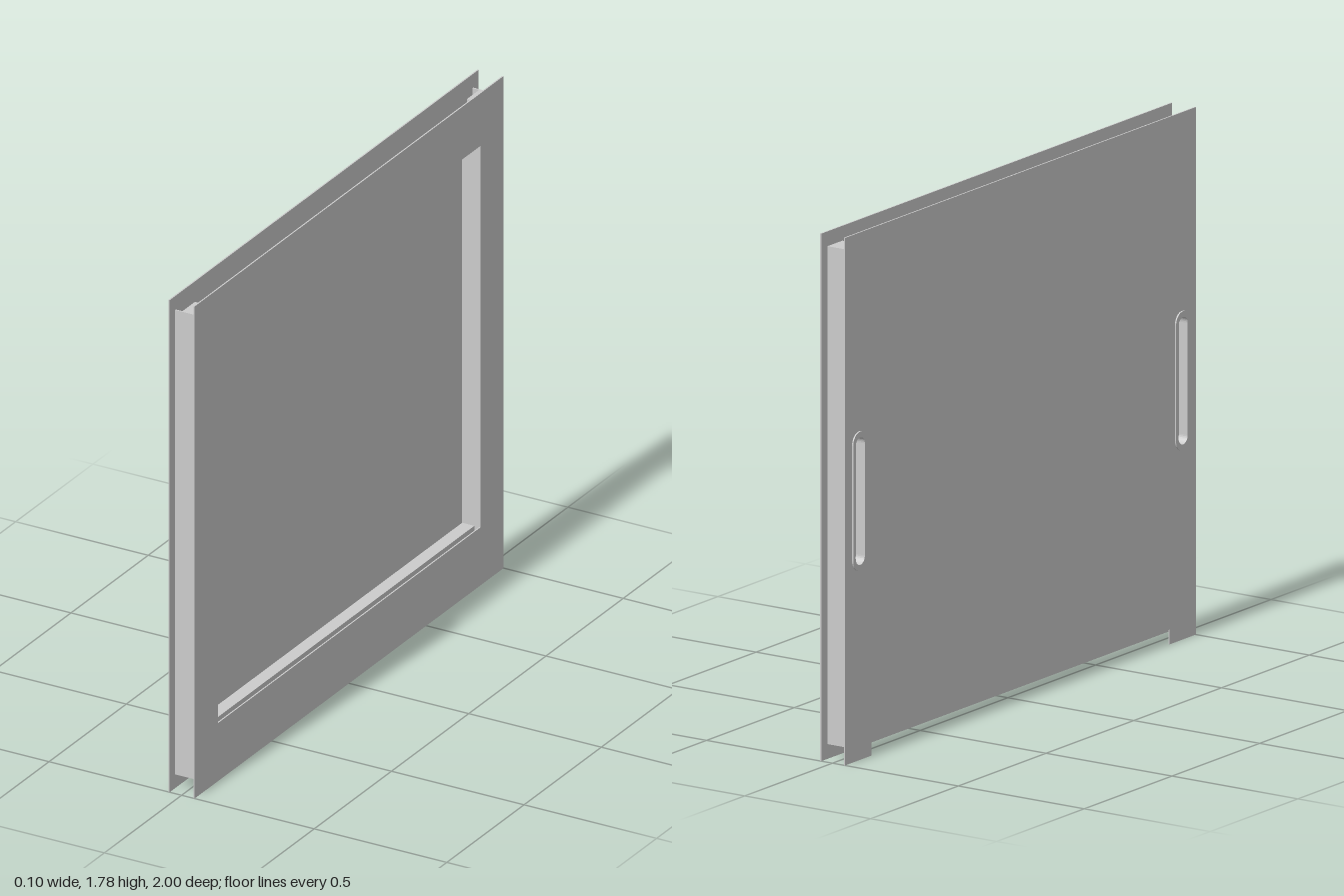
import * as THREE from 'three';

const material = new THREE.MeshStandardMaterial({ color: 0xcccccc, flatShading: true, side: THREE.DoubleSide });

// Rectangle in the (z, y) plane
function rect(z0, z1, y0, y1, Type = THREE.Shape) {
  return new Type([[z0, y0], [z1, y0], [z1, y1], [z0, y1]].map(p => new THREE.Vector2(...p)));
}

// Upright slot with round ends in the (z, y) plane
function slot(z, y0, y1, r, Type = THREE.Shape) {
  const s = new Type();
  s.absarc(z, y1 - r, r, 0, Math.PI, false);
  s.absarc(z, y0 + r, r, Math.PI, Math.PI * 2, false);
  s.closePath();
  return s;
}

export function createModel() {
  const model = new THREE.Group();

  function add(name, geometry) {
    const mesh = new THREE.Mesh(geometry, material);
    mesh.name = name;
    model.add(mesh);
  }
  // Extrudes a (z, y) shape across the thickness from x0 to x1
  function plate(name, shape, x0, x1) {
    const g = new THREE.ExtrudeGeometry(shape, { depth: x1 - x0, bevelEnabled: false, curveSegments: 8 });
    add(name, g.rotateY(-Math.PI / 2).translate(x1, 0, 0));
  }
  function box(name, x0, x1, y0, y1, z0, z1) {
    const g = new THREE.BoxGeometry(x1 - x0, y1 - y0, z1 - z0);
    add(name, g.translate((x0 + x1) / 2, (y0 + y1) / 2, (z0 + z1) / 2));
  }

  // Thin facing with a large rectangular opening
  const facing = rect(-1, 1, 0, 1.78);
  facing.holes.push(rect(-0.85, 0.85, 0.21, 1.59, THREE.Path));
  plate('frameFacing', facing, 0.044, 0.049);

  // Plain skin on the other face, and the infill seen through the opening
  box('backSkin', -0.05, -0.045, 0.05, 1.78, -0.85, 0.85);
  box('infillPanel', -0.045, -0.02, 0.21, 1.59, -0.85, 0.85);

  // Rails inside the panel, set back from the facing
  box('topRail', -0.045, 0.026, 1.59, 1.69, -0.85, 0.85);
  box('bottomRail', -0.045, 0.026, 0.05, 0.21, -0.85, 0.85);

  for (const side of [-1, 1]) {
    const span = (a, b) => side > 0 ? [a, b] : [-b, -a];
    const z = side * 0.92;

    // Jamb beside the opening and edge channel between the skins
    box('jamb', -0.045, 0.044, 0.05, 1.69, ...span(0.85, 0.88));
    box('edgeChannel', -0.02, 0.044, 0.05, 1.73, ...span(0.88, 0.965));
    box('edgeCap', -0.045, -0.02, 0.05, 1.73, ...span(0.96, 0.965));

    // Back stile pierced for the recessed pull
    const stile = rect(...span(0.85, 1), 0, 1.78);
    stile.holes.push(slot(z, 0.66, 1.09, 0.026, THREE.Path));
    plate('backStile', stile, -0.05, -0.045);

    // Raised rim and walls of the pull
    const rim = slot(z, 0.64, 1.11, 0.04);
    rim.holes.push(slot(z, 0.66, 1.09, 0.026, THREE.Path));
    plate('pullRim', rim, -0.055, -0.05);
    const wall = slot(z, 0.655, 1.095, 0.03);
    wall.holes.push(slot(z, 0.66, 1.09, 0.026, THREE.Path));
    plate('pullCup', wall, -0.05, -0.02);
  }
  return model;
}
